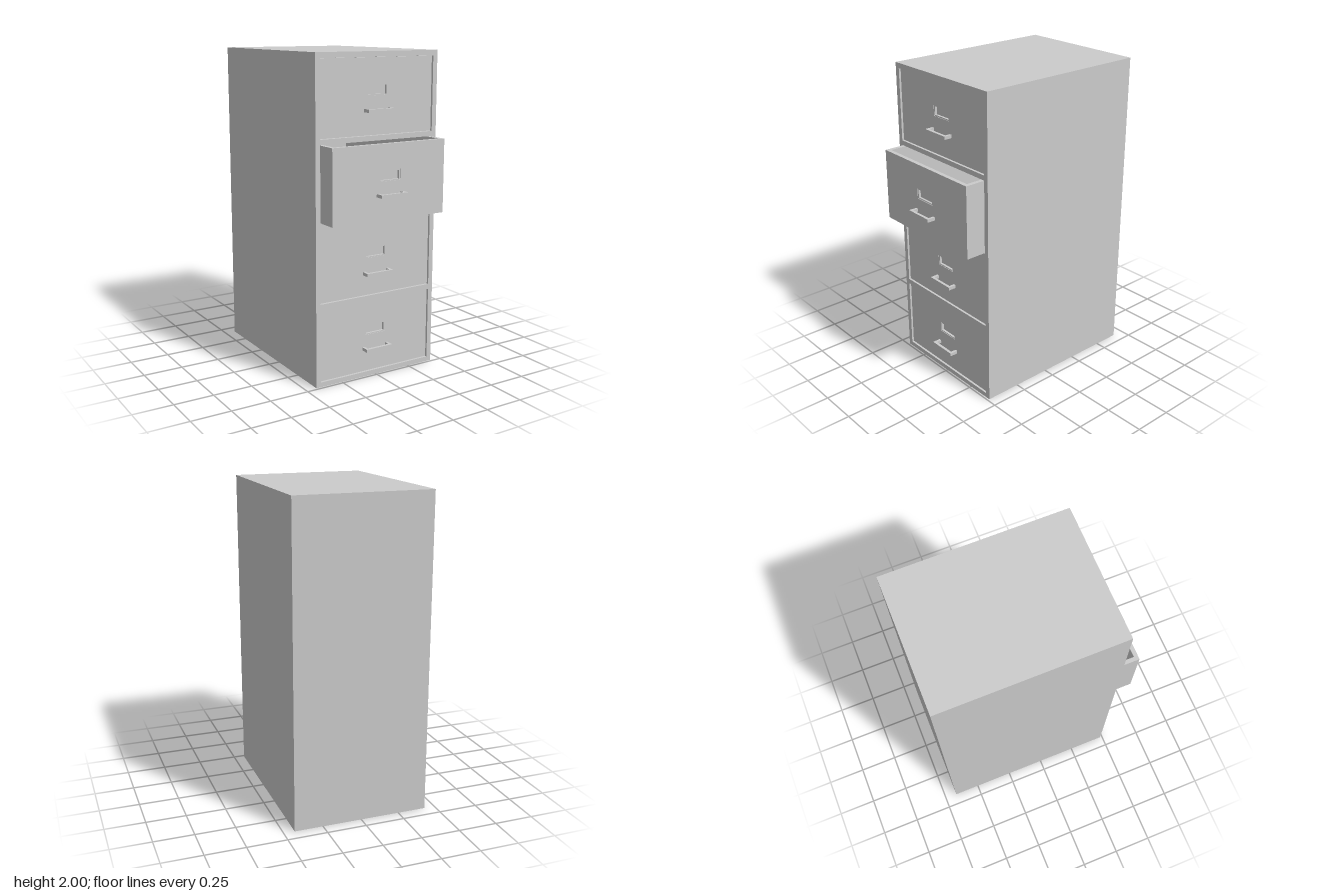
import * as THREE from 'three';

const material = new THREE.MeshStandardMaterial({ color: 0xcccccc });

// Closed rectangle centred on (0, cy)
function rect(Type, w, h, cy = 0) {
  return new Type([
    new THREE.Vector2(-w / 2, cy - h / 2), new THREE.Vector2(w / 2, cy - h / 2),
    new THREE.Vector2(w / 2, cy + h / 2), new THREE.Vector2(-w / 2, cy + h / 2),
  ]);
}

function add(parent, name, geometry, x = 0, y = 0, z = 0) {
  const mesh = new THREE.Mesh(geometry, material);
  mesh.name = name;
  mesh.position.set(x, y, z);
  parent.add(mesh);
  return mesh;
}

const box = (w, h, d) => new THREE.BoxGeometry(w, h, d);
const extrude = (shape, depth) => new THREE.ExtrudeGeometry(shape, { depth, bevelEnabled: false });

const DRAWER_W = 0.796, DRAWER_H = 0.456, DRAWER_D = 1.1, WALL = 0.026;
const LABEL_W = 0.146, LABEL_H = 0.066, LABEL_Y = 0.039;

// Drawer with its origin at the centre of the front face
function makeDrawer(handleY) {
  const drawer = new THREE.Group();

  // Front panel with a sunken label window
  const face = rect(THREE.Shape, DRAWER_W, DRAWER_H);
  face.holes.push(rect(THREE.Path, LABEL_W, LABEL_H, LABEL_Y));
  add(drawer, 'drawerFace', extrude(face, 0.018), 0, 0, -0.018);
  add(drawer, 'drawerFaceBacking', box(DRAWER_W, DRAWER_H, WALL - 0.018), 0, 0, -(WALL + 0.018) / 2);
  const frame = rect(THREE.Shape, LABEL_W, LABEL_H, LABEL_Y);
  frame.holes.push(rect(THREE.Path, LABEL_W - 0.014, LABEL_H - 0.014, LABEL_Y));
  add(drawer, 'labelFrame', extrude(frame, 0.015), 0, 0, -0.018);

  // Open-topped tray
  const len = DRAWER_D - WALL, mid = -WALL - len / 2;
  for (const s of [-1, 1]) {
    add(drawer, s > 0 ? 'leftDrawerSide' : 'rightDrawerSide',
      box(WALL, DRAWER_H, len), s * (DRAWER_W - WALL) / 2, 0, mid);
  }
  add(drawer, 'drawerFloor', box(DRAWER_W - 2 * WALL, 0.04, len), 0, -DRAWER_H / 2 + 0.02, mid);
  add(drawer, 'drawerBack', box(DRAWER_W - 2 * WALL, DRAWER_H - 0.04, WALL), 0, 0.02, -DRAWER_D + WALL / 2);

  // U-shaped pull handle, drawn from above and laid flat
  const pull = new THREE.Shape();
  [[-0.094, 0], [-0.077, 0], [-0.077, 0.035], [0.077, 0.035],
    [0.077, 0], [0.094, 0], [0.094, 0.053], [-0.094, 0.053]]
    .forEach(([x, z], i) => (i ? pull.lineTo(x, z) : pull.moveTo(x, z)));
  pull.closePath();
  const handle = extrude(pull, 0.02);
  handle.rotateX(Math.PI / 2);
  add(drawer, 'handle', handle, 0, handleY + 0.01, 0);
  return drawer;
}

export function createModel() {
  const model = new THREE.Group();
  model.name = 'filingCabinet';

  // Centre height, pull-out distance and handle offset of each drawer
  const drawers = [
    { y: 0.26, out: 0, handleY: -0.08 },
    { y: 0.753, out: 0, handleY: -0.088 },
    { y: 1.246, out: 0.141, handleY: -0.073 },
    { y: 1.737, out: 0, handleY: -0.08 },
  ];

  // Cabinet body with four drawer bays
  const body = rect(THREE.Shape, 0.862, 2, 1);
  for (const d of drawers) body.holes.push(rect(THREE.Path, 0.8, 0.46, d.y));
  add(model, 'cabinetBody', extrude(body, 1.13), 0, 0, -0.644);
  add(model, 'cabinetBack', box(0.862, 2, 0.026), 0, 1, -0.657);

  drawers.forEach((d, i) => {
    const drawer = makeDrawer(d.handleY);
    drawer.name = 'drawer' + (i + 1);
    drawer.position.set(0, d.y, 0.474 + d.out);
    model.add(drawer);
  });
  return model;
}
